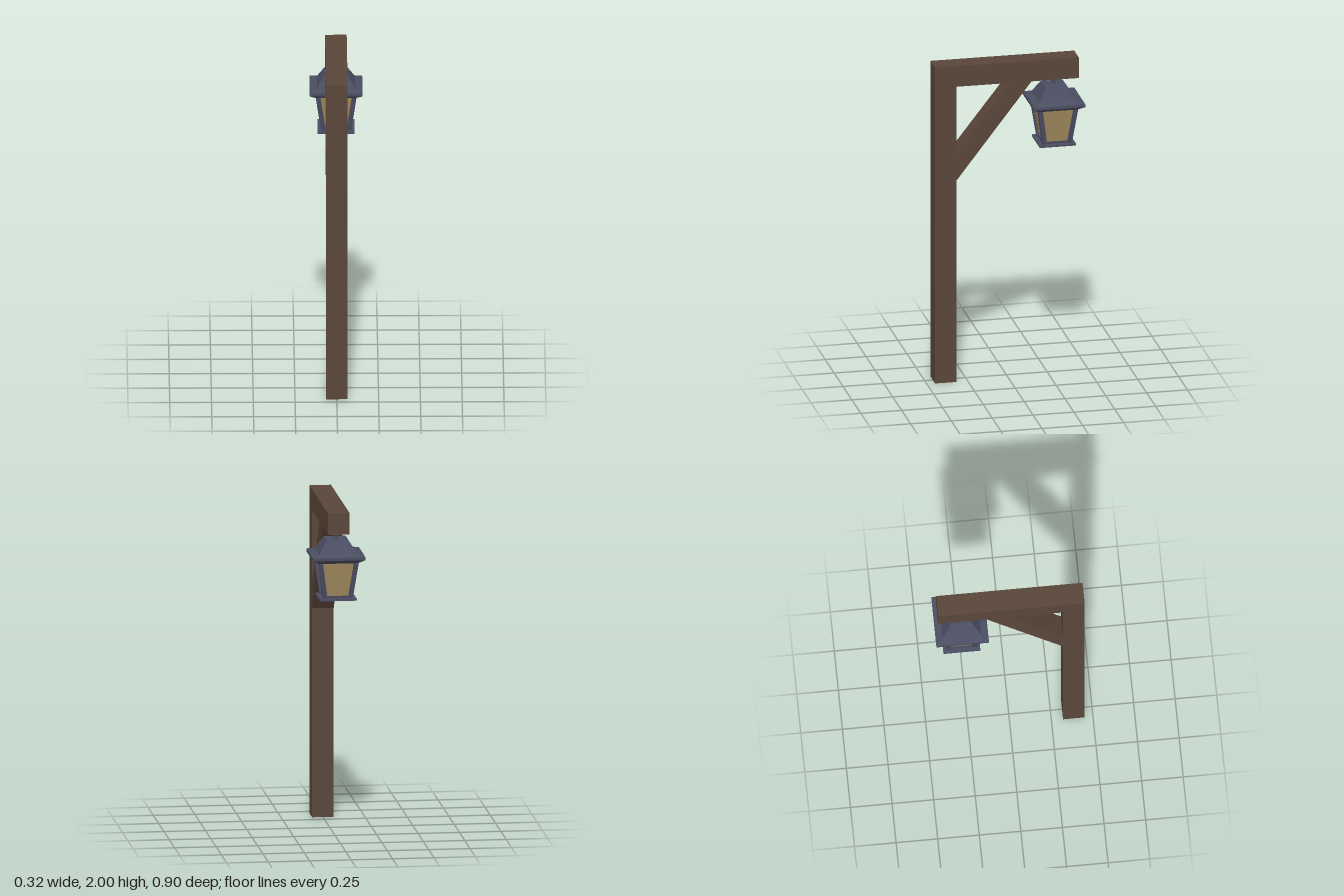
import * as THREE from 'three';

const material = (color) => new THREE.MeshStandardMaterial({ color, flatShading: true });

export function createModel() {
  const model = new THREE.Group();
  model.name = 'hangingLanternPost';
  const wood = material(0x5a4639);
  const metal = material(0x4b4d62);
  const amber = material(0xa0895c);

  const add = (parent, name, geometry, mat) => {
    const mesh = new THREE.Mesh(geometry, mat);
    mesh.name = name;
    parent.add(mesh);
    return mesh;
  };
  const points = (list) => list.map(([a, b]) => new THREE.Vector2(a, b));

  // Square solid lofted through [halfWidth, y] pairs, listed bottom to top
  const squareLoft = (profile) =>
    new THREE.LatheGeometry(points(profile.map(([h, y]) => [h * Math.SQRT2, y])), 4, Math.PI / 4);

  // Post, arm and diagonal brace: one (z, y) silhouette with a triangular gap
  const frame = new THREE.Shape(points([
    [0.45, 0], [0.45, 2], [-0.43, 2], [-0.43, 1.87], [-0.14, 1.87], [0.32, 1.275], [0.32, 0],
  ]));
  frame.holes.push(new THREE.Path(points([[0.32, 1.445], [-0.012, 1.87], [0.32, 1.87]])));
  const frameGeometry = new THREE.ExtrudeGeometry(frame, { depth: 0.13, bevelEnabled: false });
  frameGeometry.translate(0, 0, -0.065).rotateY(-Math.PI / 2);
  add(model, 'postArmAndBrace', frameGeometry, wood);

  // Lantern hanging beneath the arm
  const lantern = new THREE.Group();
  lantern.name = 'lantern';
  lantern.position.z = -0.292;
  model.add(lantern);

  add(lantern, 'hangerRod', new THREE.CylinderGeometry(0.009, 0.009, 0.07, 8), metal).position.y = 1.845;
  add(lantern, 'roof', squareLoft([
    [0, 1.69], [0.118, 1.69], [0.158, 1.715], [0.158, 1.733], [0.115, 1.745], [0.066, 1.823], [0, 1.823],
  ]), metal);
  add(lantern, 'glass', squareLoft([[0, 1.473], [0.077, 1.473], [0.109, 1.692], [0, 1.692]]), amber);
  add(lantern, 'basePlate', squareLoft([
    [0, 1.46], [0.111, 1.46], [0.111, 1.472], [0, 1.472],
  ]), metal);
  add(lantern, 'lowerRail', squareLoft([
    [0, 1.471], [0.082, 1.471], [0.084, 1.486], [0, 1.486],
  ]), metal);

  // Four corner bars leaning outward toward the roof
  for (const sx of [-1, 1]) {
    for (const sz of [-1, 1]) {
      const bar = new THREE.BoxGeometry(0.028, 0.225, 0.028);
      const p = bar.attributes.position;
      for (let i = 0; i < p.count; i++) {
        const lean = 0.092 + p.getY(i) * 0.145;
        p.setXYZ(i, p.getX(i) + sx * lean, p.getY(i) + 1.582, p.getZ(i) + sz * lean);
      }
      bar.computeVertexNormals();
      add(lantern, 'cornerBar', bar, metal);
    }
  }
  return model;
}
